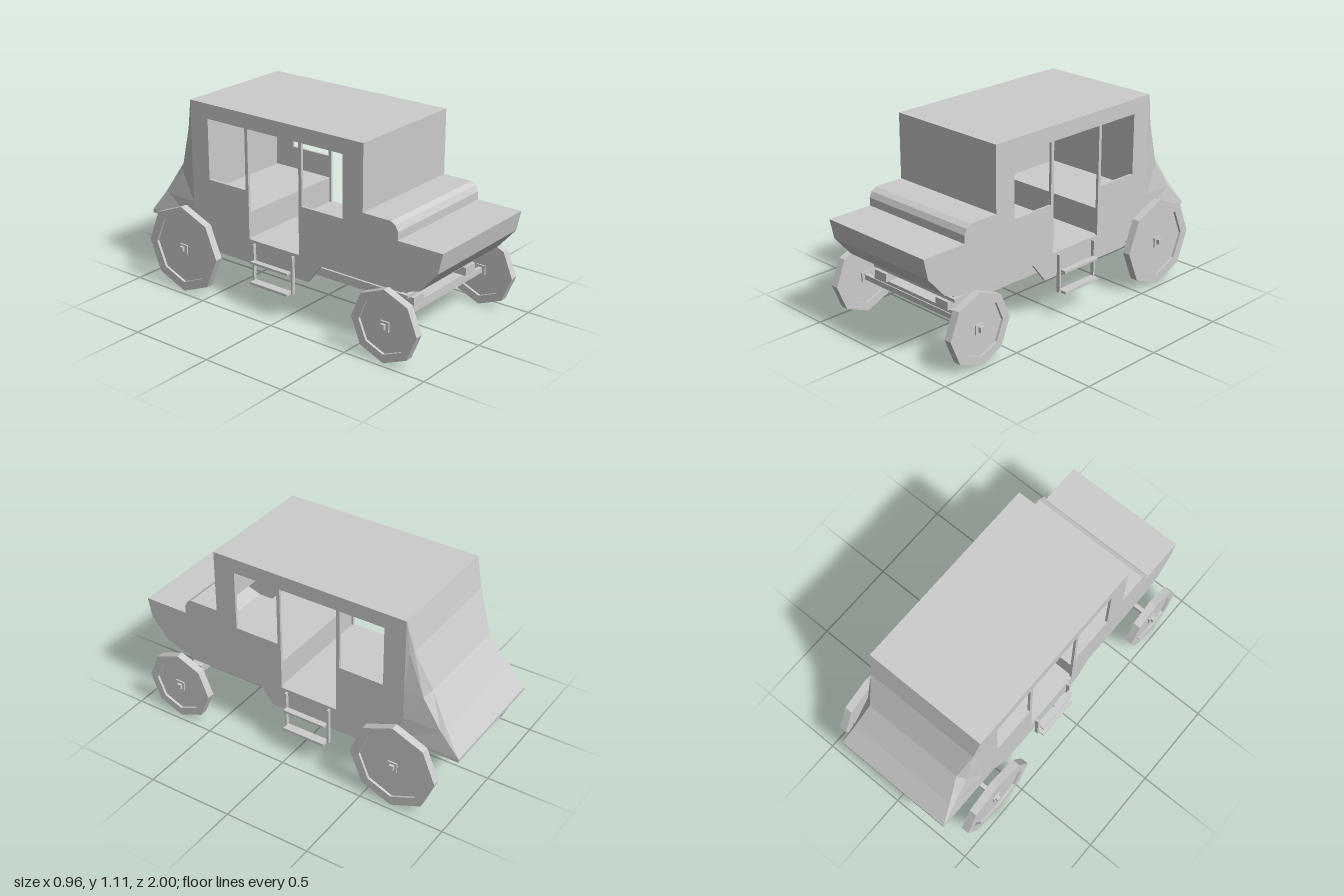
import * as THREE from 'three';

const mat = new THREE.MeshStandardMaterial({ color: 0xcccccc, flatShading: true, side: THREE.DoubleSide });
const W = 0.365; // half width of the body

function add(parent, name, geometry, x = 0, y = 0, z = 0) {
  const mesh = new THREE.Mesh(geometry, mat);
  mesh.name = name;
  mesh.position.set(x, y, z);
  parent.add(mesh);
  return mesh;
}

// Box given by its limits on each axis
function block(parent, name, [x0, x1], [y0, y1], [z0, z1]) {
  return add(parent, name, new THREE.BoxGeometry(x1 - x0, y1 - y0, z1 - z0),
    (x0 + x1) / 2, (y0 + y1) / 2, (z0 + z1) / 2);
}

// Surface between two rows of points
function loft(a, b) {
  const pos = [];
  for (let i = 0; i + 1 < a.length; i++) {
    pos.push(...a[i], ...b[i], ...b[i + 1], ...a[i], ...b[i + 1], ...a[i + 1]);
  }
  const g = new THREE.BufferGeometry();
  g.setAttribute('position', new THREE.Float32BufferAttribute(pos, 3));
  g.computeVertexNormals();
  return g;
}

const mirror = (row) => row.map(([x, y, z]) => [-x, y, z]);
const across = (profile) => {
  const row = profile.map(([z, y]) => [W, y, z]);
  return loft(mirror(row), row);
};

// Rectangular opening in a (z, y) panel
function opening(z0, z1, y0, y1) {
  return new THREE.Path([[z0, y0], [z0, y1], [z1, y1], [z1, y0]].map(([z, y]) => new THREE.Vector2(-z, y)));
}

function octagon(radius) {
  return Array.from({ length: 8 }, (_, i) =>
    new THREE.Vector2(radius * Math.cos(i * Math.PI / 4), radius * Math.sin(i * Math.PI / 4)));
}

// Extrude a (-z, y) shape along x
function extrudeX(shape, depth) {
  return new THREE.ExtrudeGeometry(shape, { depth, bevelEnabled: false }).rotateY(Math.PI / 2);
}

function wheel(side, radius, inner, z) {
  const g = new THREE.Group();
  g.name = 'wheel';
  const rim = new THREE.Shape(octagon(radius));
  rim.holes.push(new THREE.Path(octagon(inner)));
  add(g, 'rim', extrudeX(rim, 0.045), -0.0225);
  add(g, 'disc', extrudeX(new THREE.Shape(octagon(inner)), 0.016), -0.008);
  add(g, 'hub', new THREE.BoxGeometry(0.034, 0.055, 0.055));
  g.position.set(side * 0.4475, radius, z);
  return g;
}

export function createModel() {
  const model = new THREE.Group();
  model.name = 'carriage';

  // Profile of the front, bonnet, cowl, windscreen panel and roof
  const upper = [[0.75, 0.365], [0.87, 0.405], [0.975, 0.525], [1, 0.64], [0.73, 0.64], [0.73, 0.685],
    [0.715, 0.717], [0.685, 0.735], [0.51, 0.735], [0.51, 1.105], [-0.67, 1.105]];
  const lower = [[-0.67, 0.365], [-0.58, 0.365], [-0.48, 0.25], [0.15, 0.25], [0.24, 0.365]];
  add(model, 'bodyShell', across(upper));
  add(model, 'rearWall', across([[-0.67, 1.105], [-0.67, 0.365]]));
  add(model, 'underside', across([[0.75, 0.365], [-1, 0.365]]));

  // Side panels with two windows and an open doorway
  const panel = new THREE.Shape([...upper, ...lower].map(([z, y]) => new THREE.Vector2(-z, y)));
  panel.holes.push(opening(0.38, 0.11, 0.67, 1.02), opening(0.09, -0.26, 0.39, 1.02),
    opening(-0.28, -0.545, 0.67, 1.02));
  const panelGeometry = extrudeX(panel, 0.015);
  add(model, 'leftSidePanel', panelGeometry, W - 0.015);
  add(model, 'rightSidePanel', panelGeometry, -W);

  // Cabin floor and facing seats
  const inside = [-0.35, 0.35];
  block(model, 'floor', inside, [0.367, 0.39], [-0.665, 0.505]);
  block(model, 'frontSeat', inside, [0.39, 0.54], [0.1, 0.505]);
  block(model, 'rearSeat', inside, [0.39, 0.54], [-0.665, -0.27]);

  // Sloping rear boot with pinched sides
  const edge = [[W, 1.105, -0.67], [0.345, 0.93, -0.71], [0.3, 0.7, -0.8], [0.335, 0.52, -0.905],
    [W, 0.385, -1], [W, 0.365, -1]];
  const crease = [[W, 1.105, -0.67], [0.357, 0.92, -0.69], [0.345, 0.67, -0.77], [0.352, 0.51, -0.88],
    [W, 0.385, -1], [W, 0.365, -1]];
  const root = crease.map(([, y]) => [W, y, -0.67]);
  add(model, 'bootBack', loft(edge, mirror(edge)));
  for (const flip of [(r) => r, mirror]) {
    add(model, 'bootSideFold', loft(flip(edge), flip(crease)));
    add(model, 'bootSide', loft(flip(crease), flip(root)));
  }

  // Axles and cross bars
  block(model, 'frontAxle', [-0.48, 0.48], [0.19, 0.22], [0.71, 0.735]);
  block(model, 'rearAxle', [-0.48, 0.48], [0.245, 0.272], [-0.685, -0.66]);
  const bar = [-0.315, 0.315];
  block(model, 'upperCrossBar', bar, [0.343, 0.358], [0.69, 0.76]);
  block(model, 'middleCrossBar', bar, [0.312, 0.33], [0.69, 0.76]);
  block(model, 'lowerCrossBar', bar, [0.243, 0.262], [0.69, 0.76]);

  for (const s of [1, -1]) {
    const span = (a, b) => (s > 0 ? [a, b] : [-b, -a]);
    // Chassis rail and wheels
    block(model, 'chassisRail', span(0.195, 0.285), [0.264, 0.312], [-0.72, 0.78]);
    model.add(wheel(s, 0.205, 0.157, 0.725), wheel(s, 0.255, 0.2, -0.67));
    // Boarding steps below the doorway
    for (const z of [0.048, -0.225]) {
      block(model, 'stepPost', span(W, 0.385), [0.155, 0.375], [z, z + 0.012]);
    }
    block(model, 'upperStep', span(0.38, 0.415), [0.273, 0.286], [-0.213, 0.048]);
    block(model, 'lowerStep', span(0.37, 0.42), [0.153, 0.167], [-0.213, 0.048]);
  }
  return model;
}
